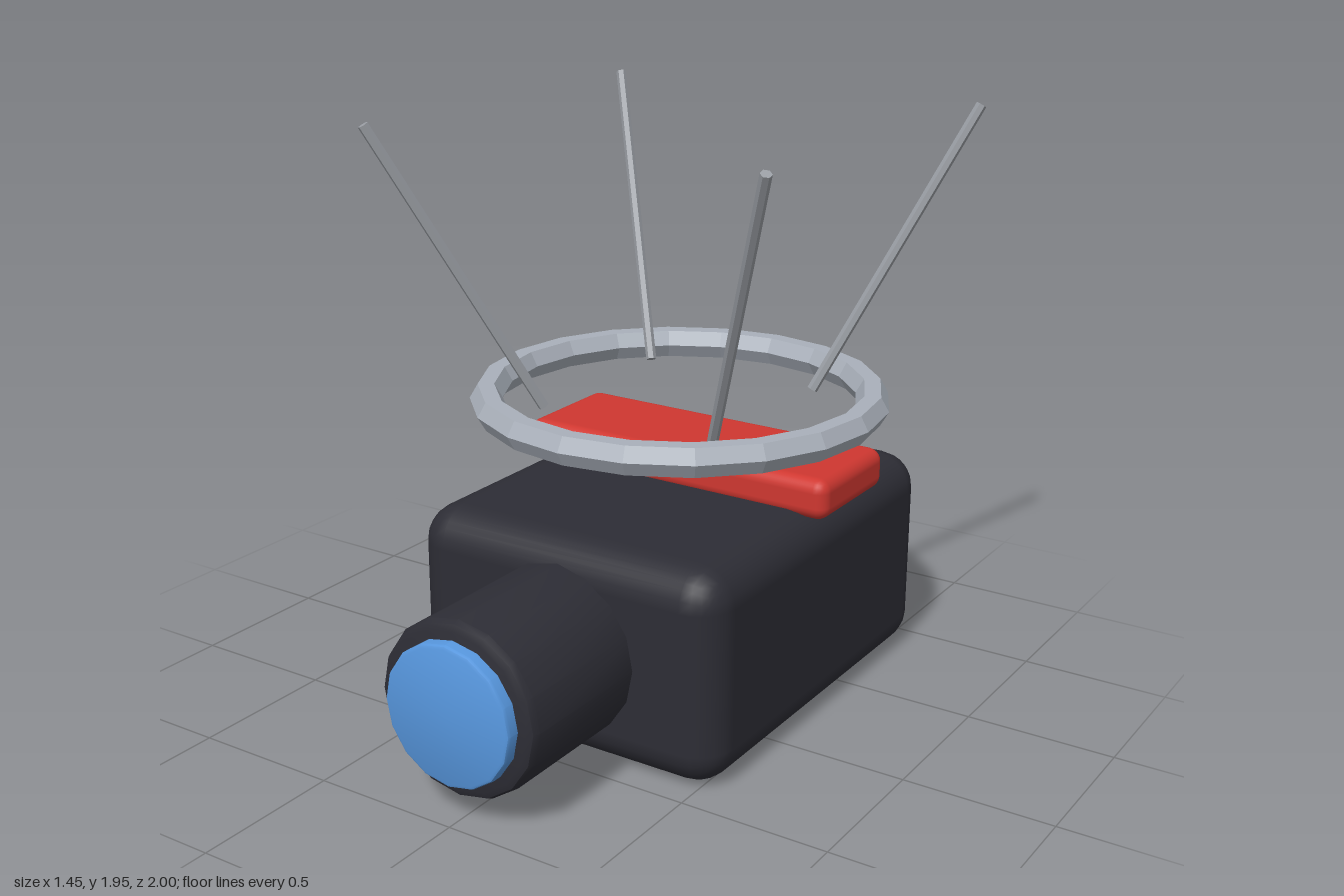
import * as THREE from 'three';
import { toCreasedNormals } from 'three/addons/utils/BufferGeometryUtils.js';
import { RoundedBoxGeometry } from 'three/addons/geometries/RoundedBoxGeometry.js';

function material(name, color) {
  const m = new THREE.MeshStandardMaterial({ color });
  m.name = name;
  return m;
}

export function createModel() {
  const model = new THREE.Group();
  model.name = 'camera';

  const charcoal = material('charcoal', 0x2d2d35);
  const red = material('red', 0xcf3730);
  const blue = material('blue', 0x5797de);
  const silver = material('silver', 0xa9b0ba);
  silver.flatShading = true;
  const steel = material('steel', 0x999da3);
  steel.flatShading = true;

  function add(name, geometry, mat, x, y, z) {
    const mesh = new THREE.Mesh(geometry, mat);
    mesh.name = name;
    mesh.position.set(x, y, z);
    model.add(mesh);
    return mesh;
  }

  // Closed disc along +z with a bevelled front rim
  function barrel(radius, back, front, bevel) {
    const b = bevel * 0.3;
    const profile = [
      [0, back], [radius, back], [radius, front - bevel],
      [radius - b, front - b], [radius - bevel, front], [0, front],
    ].map(([r, h]) => new THREE.Vector2(r, h));
    const geometry = new THREE.LatheGeometry(profile, 16);
    geometry.rotateX(Math.PI / 2);
    return toCreasedNormals(geometry, 0.5);
  }

  // Body and top strap
  add('body', new RoundedBoxGeometry(1.15, 0.72, 1.435, 3, 0.125), charcoal, 0, 0.36, -0.268);
  add('strap', new RoundedBoxGeometry(1.18, 0.14, 0.43, 3, 0.045), red, 0, 0.765, -0.415);

  // Lens barrel and glass
  add('lensBarrel', barrel(0.287, 0.38, 0.955, 0.03), charcoal, 0, 0.362, 0);
  add('lensGlass', barrel(0.23, 0.9, 1.0, 0.012), blue, 0, 0.362, 0);

  // Six-sided ring floating above the body
  const ring = add('ring', new THREE.TorusGeometry(0.645, 0.055, 6, 20), silver, 0, 1.01, -0.27);
  ring.rotation.x = Math.PI / 2;

  // Four rods splaying outwards from inside the ring
  const up = new THREE.Vector3(0, 1, 0);
  for (const sx of [-1, 1]) {
    for (const sz of [-1, 1]) {
      const bottom = new THREE.Vector3(sx * 0.325, 1.0, sz * 0.325 - 0.27);
      const top = new THREE.Vector3(sx * 0.712, 1.945, sz * 0.712 - 0.27);
      const span = top.clone().sub(bottom);
      const middle = bottom.clone().add(top).multiplyScalar(0.5);
      const rod = add('rod', new THREE.CylinderGeometry(0.018, 0.018, span.length(), 6), steel,
        middle.x, middle.y, middle.z);
      rod.quaternion.setFromUnitVectors(up, span.normalize());
    }
  }

  return model;
}
